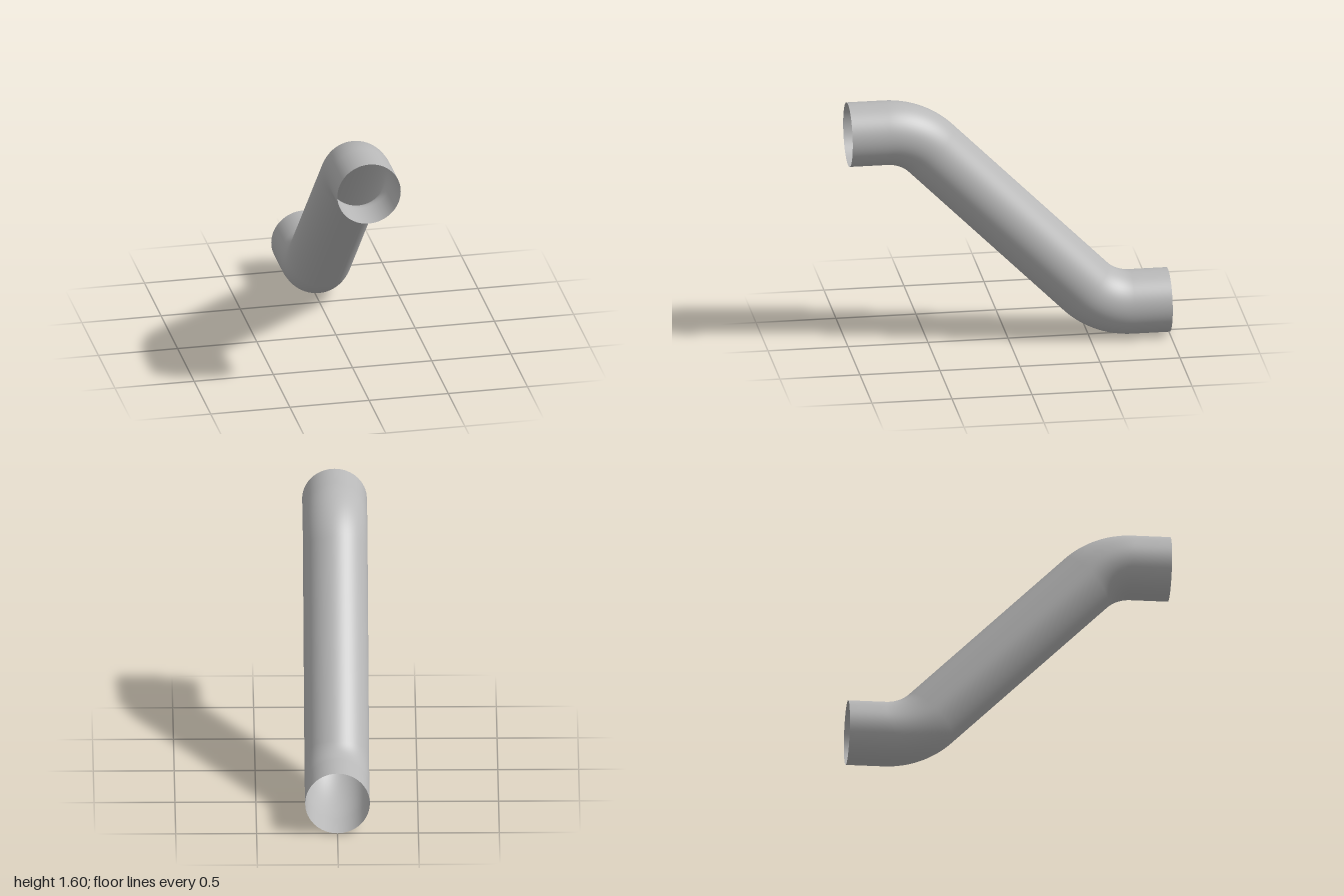
import * as THREE from 'three';

const RADIUS = 0.2; // pipe radius
const BEND = 0.4; // centreline radius of the bends
const SIDES = 64;
const ANGLE = Math.PI / 4;

export function createModel() {
  const group = new THREE.Group();
  group.name = 'offsetPipe';
  const grey = new THREE.MeshStandardMaterial({ color: 0xb8b8b8, side: THREE.DoubleSide });
  grey.name = 'pipe grey';

  const add = (name, geometry) => {
    const mesh = new THREE.Mesh(geometry, grey);
    mesh.name = name;
    group.add(mesh);
  };
  const straight = (length) => new THREE.CylinderGeometry(RADIUS, RADIUS, length, SIDES, 1, true);

  const bendZ = 0.6 + BEND * Math.tan(ANGLE / 2); // where the level ends meet the bends
  const slopeZ = bendZ - BEND * Math.sin(ANGLE); // where the bends meet the slope

  // sloping middle run
  add('slopingPipe', straight((2 * slopeZ) / Math.cos(ANGLE)).rotateX(ANGLE).translate(0, 0.8, 0));

  // level open end and bend, repeated point-symmetrically at the top front and bottom back
  for (const [side, s] of [['upper', 1], ['lower', -1]]) {
    add(side + 'End', straight(1 - bendZ).rotateX(Math.PI / 2)
      .translate(0, 0.8 + s * 0.6, s * (1 + bendZ) / 2));
    add(side + 'Bend', new THREE.TorusGeometry(BEND, RADIUS, SIDES, 20, ANGLE)
      .rotateZ(s * Math.PI / 2).rotateY(-Math.PI / 2)
      .translate(0, 0.8 + s * (0.6 - BEND), s * bendZ));
  }
  return group;
}
